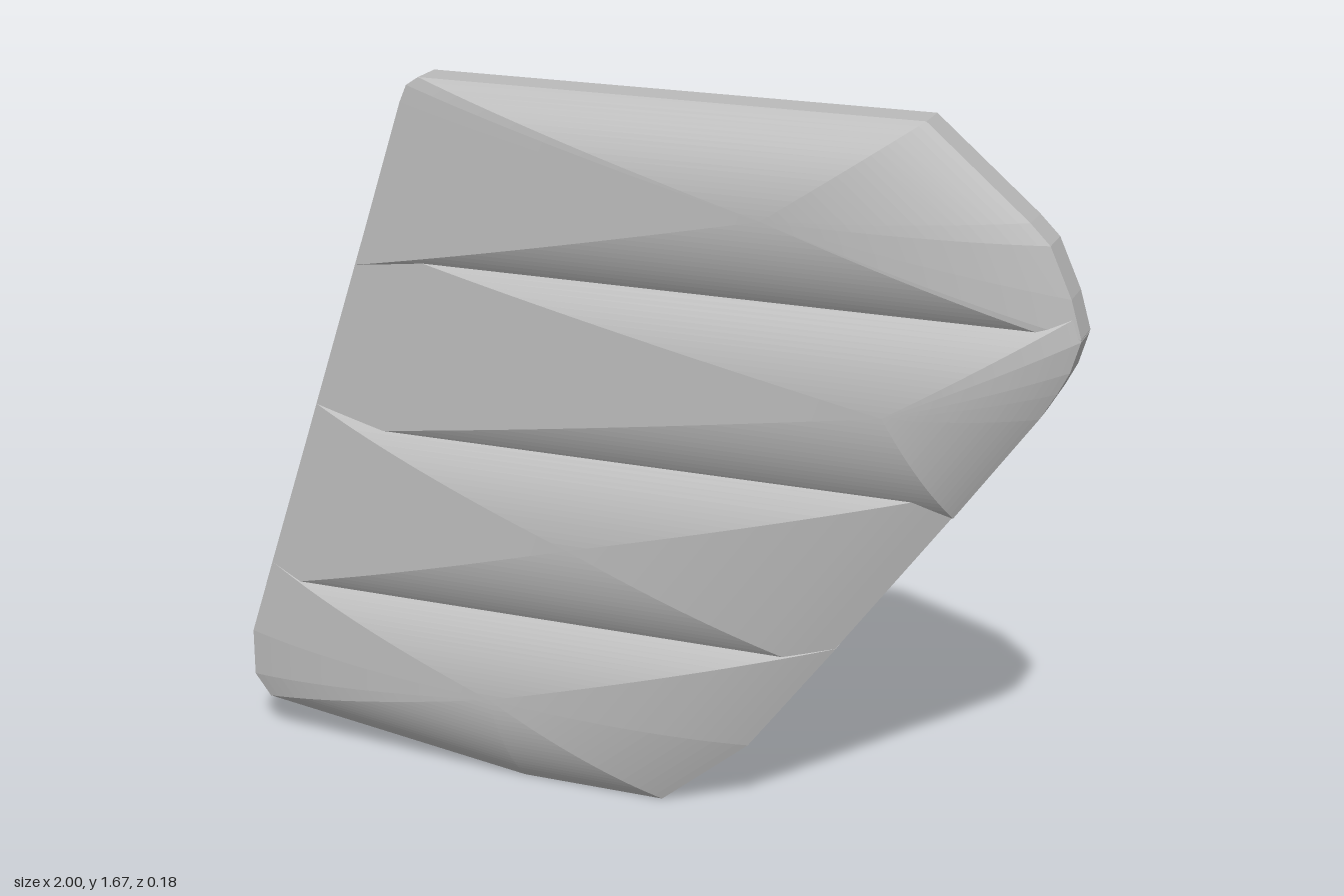
import * as THREE from 'three';

// Each padded band: counter-clockwise outline, crown of the bulge, and slab depth
const BANDS = [
  { name: 'topPad', depth: 0.085, crown: [0.32, 1.445],
    outline: [[-0.687, 1.22], [0.995, 1.22], [1, 1.235], [0.975, 1.32], [0.925, 1.43], [0.88, 1.475],
      [0.65, 1.67], [-0.515, 1.67], [-0.545, 1.65], [-0.562, 1.61]] },
  { name: 'upperMiddlePad', depth: 0.077, crown: [0.6, 1.04],
    outline: [[-0.824, 0.8], [0.742, 0.8], [0.92, 1.05], [0.955, 1.11], [0.98, 1.16], [1, 1.23],
      [0.985, 1.28], [-0.668, 1.28]] },
  { name: 'lowerMiddlePad', depth: 0.071, crown: [-0.13, 0.63],
    outline: [[-0.958, 0.39], [0.44, 0.39], [0.79, 0.87], [-0.801, 0.87]] },
  { name: 'bottomPad', depth: 0.065, crown: [-0.33, 0.225],
    outline: [[-1, 0.145], [-0.96, 0.092], [-0.28, 0], [0.07, 0], [0.28, 0.175], [0.485, 0.45],
      [-0.938, 0.45], [-1, 0.26]] },
];

const BULGE = 0.09;
const RINGS = 20;

// Rings shrink toward the crown while rising along a circular arc
function bulgeGeometry(outline, [cx, cy]) {
  const half = 0.225;
  const radius = (half * half + BULGE * BULGE) / (2 * BULGE);
  const sweep = Math.asin(half / radius);
  const n = outline.length;
  const positions = [];
  const index = [];
  for (let r = 0; r <= RINGS; r++) {
    const angle = sweep * (1 - r / RINGS);
    const s = Math.sin(angle) * radius / half;
    const z = BULGE - radius * (1 - Math.cos(angle));
    for (const [x, y] of outline) positions.push(cx + (x - cx) * s, cy + (y - cy) * s, z);
  }
  for (let r = 0; r < RINGS; r++) {
    for (let i = 0; i < n; i++) {
      const j = (i + 1) % n;
      const a = r * n + i, b = r * n + j, c = a + n, d = b + n;
      index.push(a, b, d);
      if (r < RINGS - 1) index.push(a, d, c);
    }
  }
  const geometry = new THREE.BufferGeometry();
  geometry.setAttribute('position', new THREE.Float32BufferAttribute(positions, 3));
  geometry.setIndex(index);
  const flat = geometry.toNonIndexed();
  flat.computeVertexNormals();
  return flat;
}

export function createModel() {
  const model = new THREE.Group();
  model.name = 'paddedPanel';
  const grey = new THREE.MeshStandardMaterial({ color: 0xbababa, flatShading: true });
  grey.name = 'grey';

  for (const { name, depth, crown, outline } of BANDS) {
    const pad = new THREE.Group();
    pad.name = name;

    // Flat backing slab behind the bulge
    const shape = new THREE.Shape(outline.map(([x, y]) => new THREE.Vector2(x, y)));
    const slab = new THREE.Mesh(new THREE.ExtrudeGeometry(shape, { depth, bevelEnabled: false }), grey);
    slab.position.z = -depth;
    slab.name = 'backing';

    // Domed front
    const bulge = new THREE.Mesh(bulgeGeometry(outline, crown), grey);
    bulge.name = 'bulge';

    pad.add(slab, bulge);
    model.add(pad);
  }
  return model;
}
